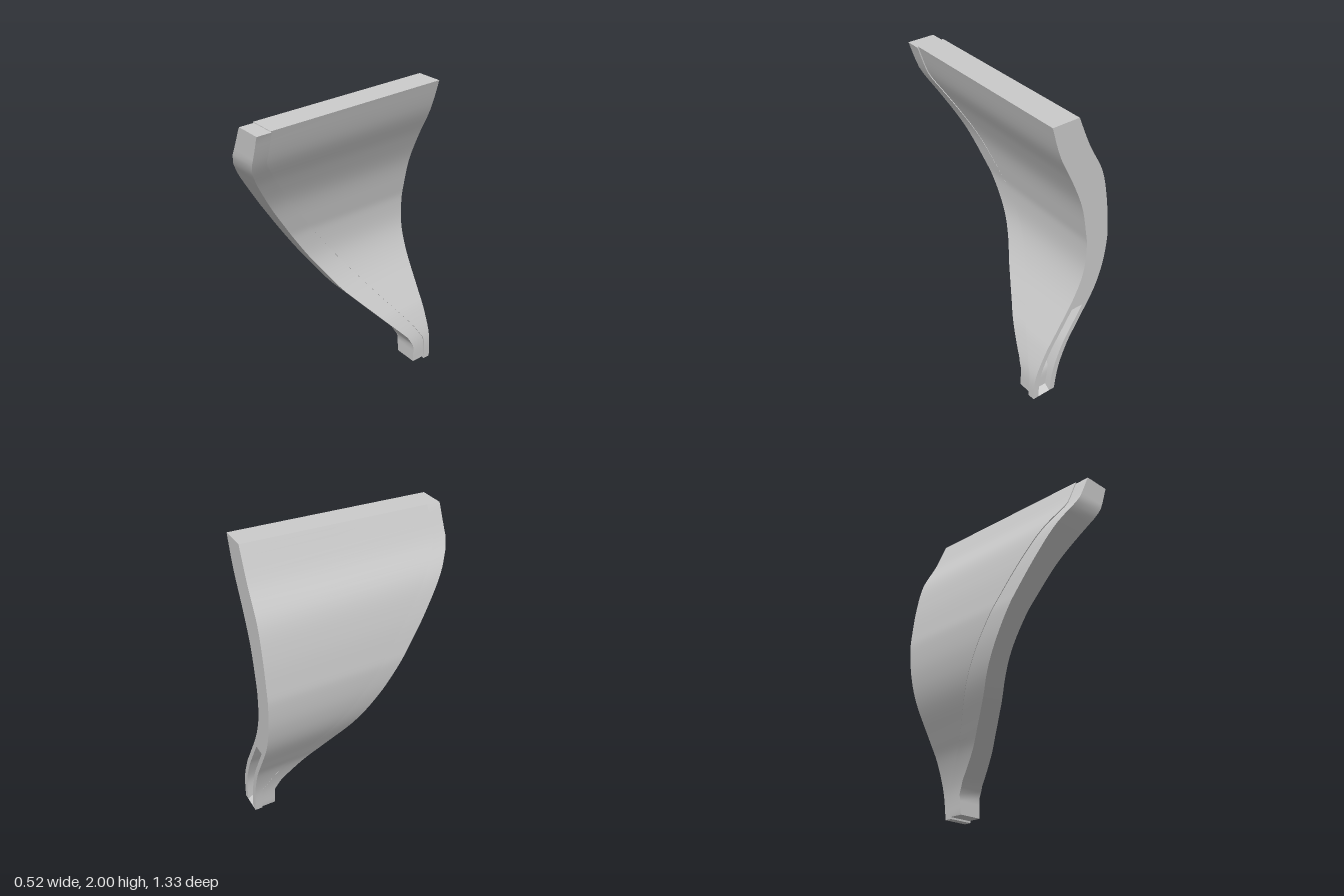
import * as THREE from 'three';
import { toCreasedNormals } from 'three/addons/utils/BufferGeometryUtils.js';

const BACK = -0.66;

// S-curve of the slab at its back edge: [height, x of one face, x of other face]
const PROFILE = [
  [0, 0.09, 0.258], [0.18, 0.065, 0.245], [0.36, 0.005, 0.175], [0.5, -0.07, 0.095],
  [0.72, -0.19, -0.03], [0.9, -0.245, -0.095], [1.08, -0.264, -0.107], [1.2, -0.257, -0.092],
  [1.4, -0.23, -0.05], [1.6, -0.18, 0.03], [1.8, -0.075, 0.125], [2, 0.01, 0.186],
];
// Diagonal front edges: [height, z]
const PANEL_FRONT = [[0, -0.61], [0.165, -0.61], [0.3, -0.525], [0.53, -0.34], [0.88, -0.075],
  [1.24, 0.19], [1.61, 0.455], [1.78, 0.57], [2, 0.57]];
const RAIL_FRONT = [[0, -0.515], [0.14, -0.515], [0.22, -0.47], [0.39, -0.31], [0.65, -0.07],
  [0.945, 0.14], [1.34, 0.405], [1.63, 0.59], [1.72, 0.64], [1.79, 0.665], [2, 0.665]];

function lookup(table, y) {
  let i = 1;
  while (i < table.length - 1 && y > table[i][0]) i++;
  const [y0, z0] = table[i - 1], [y1, z1] = table[i];
  return THREE.MathUtils.lerp(z0, z1, THREE.MathUtils.clamp((y - y0) / (y1 - y0), 0, 1));
}

// Heights and face positions sampled along the smooth S-curve
function sampleRows() {
  const a = new THREE.SplineCurve(PROFILE.map(([y, l]) => new THREE.Vector2(l, y)));
  const b = new THREE.SplineCurve(PROFILE.map(([y, , r]) => new THREE.Vector2(r, y)));
  const n = (PROFILE.length - 1) * 5;
  return Array.from({ length: n + 1 }, (_, i) => {
    const p = a.getPoint(i / n), q = b.getPoint(i / n);
    return { y: p.y, l: p.x, r: q.x };
  });
}

// The slab leans sideways towards the front and its top slopes down
function place(x, y, z) {
  const d = z - BACK;
  return [x + 0.033 * d, y - 0.023 * d * Math.pow(y / 2, 4), z];
}

// Skin a stack of rings (counter-clockwise from above); the first four points form the caps
function loft(rings, name) {
  const n = rings[0].length, top = (rings.length - 1) * n, index = [];
  for (let k = 0; k < rings.length - 1; k++) {
    for (let i = 0; i < n; i++) {
      const j = (i + 1) % n, a = k * n + i, b = k * n + j;
      index.push(a, b, b + n, a, b + n, a + n);
    }
  }
  index.push(0, 2, 1, 0, 3, 2, top, top + 1, top + 2, top, top + 2, top + 3);
  const geo = new THREE.BufferGeometry();
  geo.setAttribute('position', new THREE.Float32BufferAttribute(rings.flat(2), 3));
  geo.setIndex(index);
  const material = new THREE.MeshStandardMaterial({ color: 0xcccccc, side: THREE.DoubleSide });
  const mesh = new THREE.Mesh(toCreasedNormals(geo, 0.5), material);
  mesh.name = name;
  return mesh;
}

export function createModel() {
  const group = new THREE.Group();
  group.name = 'curvedBracket';
  const rows = sampleRows();

  // Main panel, with a slot cut into the lower part of its back edge
  const panel = rows.map(({ y, l, r }) => {
    const front = lookup(PANEL_FRONT, y);
    const open = y > 0.02 && y < 0.62;
    const deep = BACK + (open ? Math.min(0.25, front - BACK - 0.005) : 0);
    const wall = 0.04;
    return [
      [l, BACK], [l, front], [r, front], [r, BACK],
      [r - wall, BACK], [r - wall, deep], [l + wall, deep], [l + wall, BACK],
    ].map(([x, z]) => place(x, y, z));
  });
  group.add(loft(panel, 'panel'));

  // Front rail running down the diagonal edge, slightly offset sideways
  const rail = rows.map(({ y, l, r }) => {
    const back = lookup(PANEL_FRONT, y) - 0.002, front = lookup(RAIL_FRONT, y);
    const shift = THREE.MathUtils.lerp(-0.01, 0.008, y / 2);
    const inset = 0.008 * (1 - y / 2);
    const h = Math.max(y, 0.012) - (y > 1.99 ? 0.004 : 0);
    return [[l + shift + inset, back], [l + shift + inset, front], [r + shift, front], [r + shift, back]]
      .map(([x, z]) => place(x, h, z));
  });
  group.add(loft(rail, 'frontRail'));

  return group;
}
